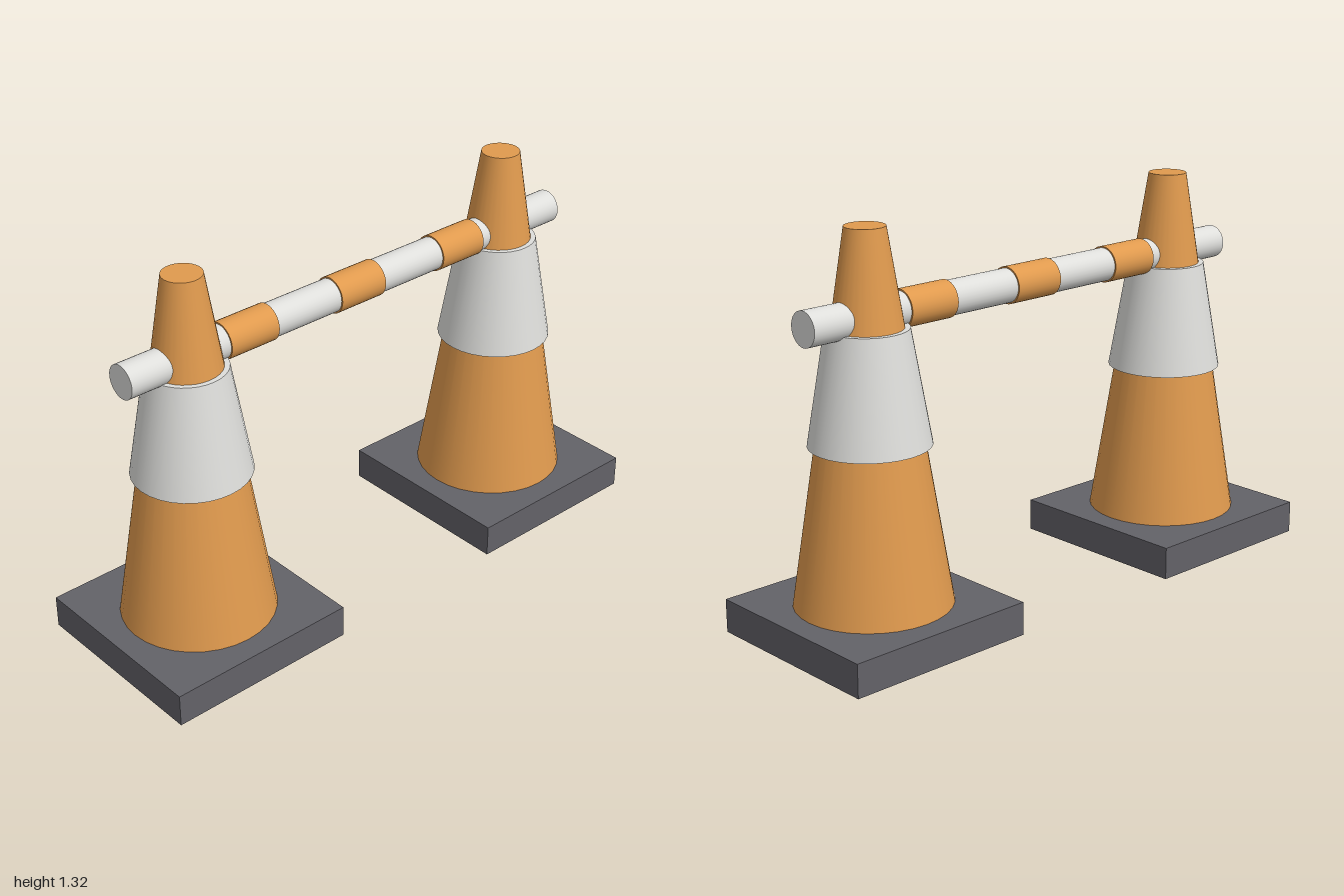
import * as THREE from 'three';

const orange = new THREE.MeshStandardMaterial({ color: 0xe09a4e });
orange.name = 'orange plastic';
const white = new THREE.MeshStandardMaterial({ color: 0xdededb });
white.name = 'white reflective';
const grey = new THREE.MeshStandardMaterial({ color: 0x636268 });
grey.name = 'dark grey rubber';

function add(parent, name, geometry, material, x, y) {
  const mesh = new THREE.Mesh(geometry, material);
  mesh.name = name;
  mesh.position.set(x, y, 0);
  parent.add(mesh);
  return mesh;
}

// Upright tapered tube standing between two heights
function taper(parent, name, material, rBottom, rTop, y0, y1) {
  return add(parent, name, new THREE.CylinderGeometry(rTop, rBottom, y1 - y0, 32), material, 0, (y0 + y1) / 2);
}

// Cylinder lying along x
function rod(parent, name, material, radius, length, x) {
  const geometry = new THREE.CylinderGeometry(radius, radius, length, 32).rotateZ(Math.PI / 2);
  return add(parent, name, geometry, material, x, 1.04);
}

export function createModel() {
  const model = new THREE.Group();
  model.name = 'coneBarrier';

  // Two traffic cones
  for (const side of [-1, 1]) {
    const cone = new THREE.Group();
    cone.name = side > 0 ? 'leftCone' : 'rightCone';
    cone.position.x = side * 0.667;
    add(cone, 'base', new THREE.BoxGeometry(0.666, 0.112, 0.666), grey, 0, 0.056);
    taper(cone, 'coneBody', orange, 0.256, 0.065, 0.112, 1.317);
    taper(cone, 'sleeve', white, 0.195, 0.132, 0.634, 1.003);
    model.add(cone);
  }

  // Crossbar with three painted bands
  const bar = new THREE.Group();
  bar.name = 'crossbar';
  rod(bar, 'pole', white, 0.057, 1.814, 0);
  for (const x of [-0.445, 0, 0.445]) rod(bar, 'band', orange, 0.062, 0.186, x);
  model.add(bar);

  return model;
}
